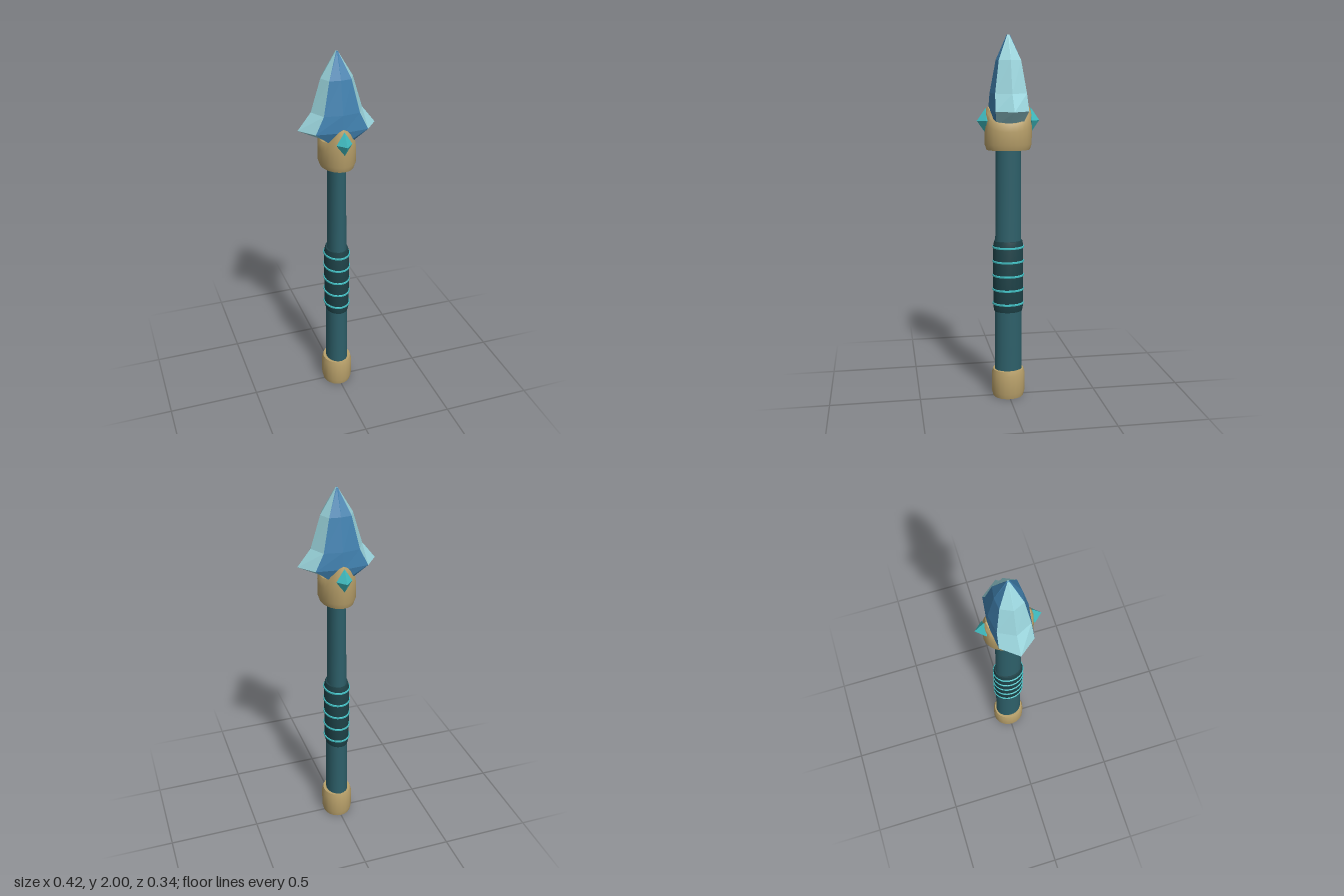
import * as THREE from 'three';
import { toCreasedNormals } from 'three/addons/utils/BufferGeometryUtils.js';

const mat = (name, color) => {
  const m = new THREE.MeshStandardMaterial({ color });
  m.name = name;
  return m;
};

// Skins a stack of closed rings (points run from +x towards +z); keep() picks columns
function skin(rings, keep = () => true) {
  const pos = [];
  const n = rings[0].length;
  for (let i = 0; i < rings.length - 1; i++) {
    for (let k = 0; k < n; k++) {
      if (!keep(k)) continue;
      const a = rings[i][k], b = rings[i][(k + 1) % n];
      const c = rings[i + 1][(k + 1) % n], d = rings[i + 1][k];
      pos.push(...a, ...d, ...b, ...b, ...d, ...c);
    }
  }
  const g = new THREE.BufferGeometry();
  g.setAttribute('position', new THREE.Float32BufferAttribute(pos, 3));
  g.computeVertexNormals();
  return g;
}

// Elliptical tube from sections [y, rx, rz, lift]; lift raises the rim at front and back
function tube(sections, n = 20) {
  const rings = sections.map(([y, rx, rz, lift = 0]) =>
    Array.from({ length: n }, (_, k) => {
      const t = (k / n) * Math.PI * 2;
      return [rx * Math.cos(t), y + lift * Math.sin(t) ** 4, rz * Math.sin(t)];
    }));
  return toCreasedNormals(skin(rings), 0.6);
}

export function createModel() {
  const group = new THREE.Group();
  const gold = mat('gold', 0xb8a06a);
  const teal = mat('shaft teal', 0x2d5f69);
  const dark = mat('dark grip', 0x1e4248);
  const turquoise = mat('turquoise', 0x40bcc0);
  const blue = mat('crystal blue', 0x4080ae);
  const pale = mat('pale crystal', 0x9ad4dc);

  const add = (name, geometry, material) => {
    const mesh = new THREE.Mesh(geometry, material);
    mesh.name = name;
    group.add(mesh);
    return mesh;
  };

  // Tapered oval shaft, closed at the foot
  add('shaft', tube([
    [0.006, 0, 0], [0.006, 0.062, 0.077], [0.3, 0.061, 0.076],
    [0.9, 0.052, 0.072], [1.5, 0.047, 0.068],
  ]), teal);

  // Pommel
  add('pommel', tube([
    [0.008, 0.05, 0.06], [0, 0.055, 0.064], [0, 0.078, 0.085], [0.03, 0.086, 0.093],
    [0.135, 0.086, 0.093], [0.16, 0.079, 0.086], [0.16, 0.055, 0.07],
  ]), gold);

  // Grip and its bands
  add('grip', tube([
    [0.5, 0.05, 0.065], [0.5, 0.061, 0.078], [0.53, 0.068, 0.084],
    [0.87, 0.068, 0.084], [0.9, 0.061, 0.078], [0.9, 0.045, 0.06],
  ]), dark);
  for (let i = 0; i < 5; i++) {
    const y = 0.545 + i * 0.08;
    add('gripBand', tube([
      [y - 0.007, 0.066, 0.082], [y - 0.004, 0.073, 0.088],
      [y + 0.004, 0.073, 0.088], [y + 0.007, 0.066, 0.082],
    ]), turquoise);
  }

  // Collar with raised front and back lobes, hollow underneath
  add('collar', tube([
    [1.44, 0.045, 0.065], [1.43, 0.075, 0.1], [1.4, 0.08, 0.108], [1.4, 0.087, 0.117],
    [1.43, 0.097, 0.128], [1.5, 0.097, 0.128, 0.05], [1.53, 0.094, 0.124, 0.075],
    [1.545, 0.086, 0.112, 0.085], [1.545, 0.074, 0.098, 0.08], [1.5, 0.06, 0.08, 0.05],
  ], 24), gold);

  // Blade: rings of [y, edge x, corner x, corner z, middle z]
  const blade = [
    [1.535, 0.055, 0.045, 0.07, 0.088],
    [1.61, 0.208, 0.139, 0.088, 0.105],
    [1.7, 0.137, 0.095, 0.084, 0.1],
    [1.87, 0.085, 0.058, 0.059, 0.067],
    [2, 0.006, 0.005, 0.006, 0.009],
    [2, 0, 0, 0, 0],
  ].map(([y, xe, xc, zc, zm]) => [
    [xe, y, 0], [xc, y, zc], [0, y, zm], [-xc, y, zc],
    [-xe, y, 0], [-xc, y, -zc], [0, y, -zm], [xc, y, -zc],
  ]);
  const isEdge = (k) => k % 4 === 0 || k % 4 === 3;
  add('bladeFaces', skin(blade, (k) => !isEdge(k)), blue);
  add('bladeEdges', skin(blade, isEdge), pale);

  // Gems on the front and back lobes
  for (const side of [1, -1]) {
    const gem = add(side > 0 ? 'frontGem' : 'backGem', new THREE.OctahedronGeometry(1), turquoise);
    gem.scale.set(0.042, 0.067, 0.047);
    gem.position.set(0, 1.555, side * 0.122);
  }
  return group;
}
